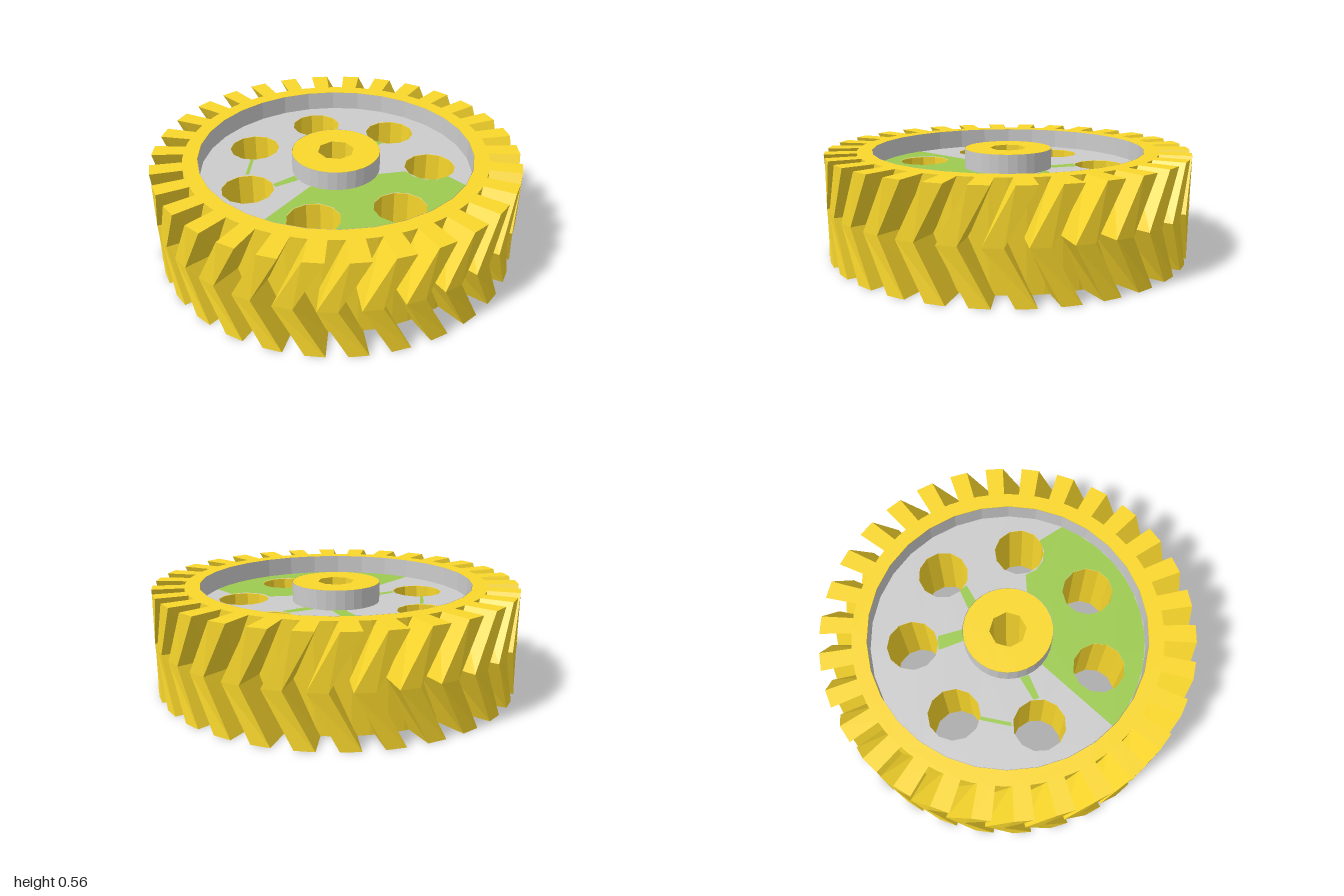
import * as THREE from 'three';

const HEIGHT = 0.56, FLOOR = 0.45, TEETH = 30, TWIST = 0.15;
const ROOT_R = 0.83, RIM_R = 0.75, HUB_R = 0.24, BORE_R = 0.1, HOLE_R = 0.14, HOLE_RING = 0.52;

const material = (color) =>
  new THREE.MeshStandardMaterial({ color, flatShading: true, side: THREE.DoubleSide });

// points of a regular polygon; the shape plane is (x, -z)
function circle(r, n, cx = 0, cz = 0, offset = 0) {
  return Array.from({ length: n }, (_, i) => {
    const a = offset + (i / n) * Math.PI * 2;
    return new THREE.Vector2(cx + r * Math.sin(a), -(cz + r * Math.cos(a)));
  });
}

function shapeWithHoles(outline, holes = []) {
  const shape = new THREE.Shape(outline);
  holes.forEach((h) => shape.holes.push(new THREE.Path(h)));
  return shape;
}

// upright prism standing on y = 0
function prism(shape, height, steps = 1) {
  return new THREE.ExtrudeGeometry(shape, { depth: height, steps, bevelEnabled: false }).rotateX(-Math.PI / 2);
}

function plate(shape, y) {
  return new THREE.ShapeGeometry(shape).rotateX(-Math.PI / 2).translate(0, y, 0);
}

// one chevron tooth: a straight prism turned about y most at mid height
function toothGeometry() {
  const polar = (a, r) => new THREE.Vector2(r * Math.sin(a), -r * Math.cos(a));
  const outline = [polar(-0.054, 0.81), polar(0.054, 0.81), polar(0.05, 1), polar(-0.05, 1)];
  const g = prism(new THREE.Shape(outline), HEIGHT, 2);
  const p = g.attributes.position, v = new THREE.Vector3(), up = new THREE.Vector3(0, 1, 0);
  const half = HEIGHT / 2;
  for (let i = 0; i < p.count; i++) {
    v.fromBufferAttribute(p, i);
    v.applyAxisAngle(up, -TWIST * (1 - Math.abs(v.y - half) / half));
    p.setXYZ(i, v.x, v.y, v.z);
  }
  g.computeVertexNormals();
  return g;
}

export function createModel() {
  const gear = new THREE.Group();
  gear.name = 'herringboneGear';
  const yellow = material(0xf9d72c), grey = material(0xcccccc), green = material(0x9dcb51);
  const add = (name, geometry, mat, parent = gear) => {
    const mesh = new THREE.Mesh(geometry, mat);
    mesh.name = name;
    parent.add(mesh);
    return mesh;
  };

  // seven lightening holes around the bore
  const holes = Array.from({ length: 7 }, (_, i) => {
    const a = Math.PI + (i / 7) * Math.PI * 2;
    return circle(HOLE_R, 12, HOLE_RING * Math.sin(a), HOLE_RING * Math.cos(a), a);
  });
  const bore = circle(BORE_R, 8);

  // web, rim and hub
  add('web', prism(shapeWithHoles(circle(0.76, 60), [...holes, bore]), FLOOR), yellow);
  add('rim', prism(shapeWithHoles(circle(ROOT_R, 60), [circle(RIM_R, 30)]), HEIGHT), yellow);
  add('hub', prism(shapeWithHoles(circle(HUB_R, 30), [bore]), HEIGHT), yellow);

  // grey faces of the recess
  add('recessFloor', plate(shapeWithHoles(circle(RIM_R, 30), [...holes, circle(HUB_R, 30)]), FLOOR + 0.002), grey);
  const wall = (r) => new THREE.CylinderGeometry(r, r, HEIGHT - FLOOR, 30, 1, true)
    .translate(0, (HEIGHT + FLOOR) / 2, 0);
  add('recessWall', wall(RIM_R - 0.002), grey);
  add('hubWall', wall(HUB_R + 0.002), grey);

  // green front sector of the floor, skirting the right-hand hole
  const sector = [];
  for (let i = 0; i <= 12; i++) {
    const a = -0.84 + (i / 12) * 1.88;
    sector.push(new THREE.Vector2(0.745 * Math.sin(a), -0.745 * Math.cos(a)));
  }
  for (let i = 0; i <= 4; i++) {
    const a = 0.5 - i * 0.48;
    sector.push(new THREE.Vector2(0.5 + 0.142 * Math.sin(a), -(0.115 + 0.142 * Math.cos(a))));
  }
  for (let i = 0; i <= 8; i++) {
    const a = 1.0 - (i / 8) * 1.82;
    sector.push(new THREE.Vector2(HUB_R * Math.sin(a), -HUB_R * Math.cos(a)));
  }
  const frontHoles = [-1, 1].map((s) => {
    const a = s * Math.PI / 7;
    return circle(HOLE_R, 12, HOLE_RING * Math.sin(a), HOLE_RING * Math.cos(a), a);
  });
  add('floorSector', plate(shapeWithHoles(sector, frontHoles), FLOOR + 0.004), green);

  // small green slivers between holes and hub, as [x, z] corners
  const slivers = [
    [[-0.04, -0.38], [0.04, -0.38], [0.07, -0.23], [0, -0.24]],
    [[0.15, -0.19], [0.3, -0.24], [0.33, -0.2], [0.19, -0.14]],
    [[-0.24, 0.04], [-0.37, 0.1], [-0.36, 0.13], [-0.23, 0.09]],
    [[-0.45, -0.19], [-0.43, -0.19], [-0.48, -0.03], [-0.5, -0.03]],
  ];
  slivers.forEach((s) => {
    const shape = new THREE.Shape(s.map(([x, z]) => new THREE.Vector2(x, -z)));
    add('floorSliver', plate(shape, FLOOR + 0.004), green);
  });

  // ring of chevron teeth
  const teeth = new THREE.Group();
  teeth.name = 'teeth';
  gear.add(teeth);
  const tooth = toothGeometry();
  for (let i = 0; i < TEETH; i++) {
    add('tooth', tooth, yellow, teeth).rotation.y = 0.085 + (i / TEETH) * Math.PI * 2;
  }
  return gear;
}
